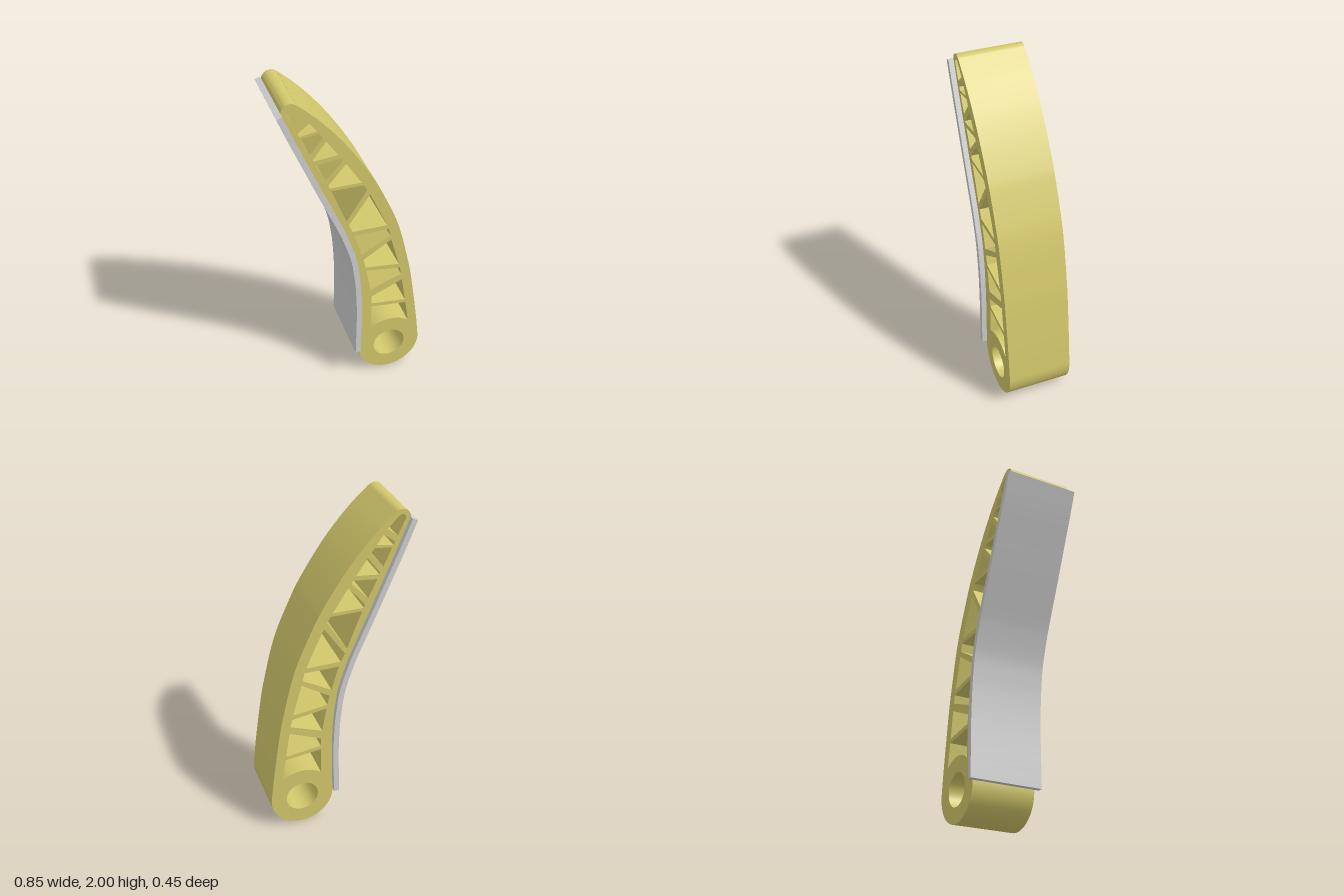
import * as THREE from 'three';
import { toCreasedNormals } from 'three/addons/utils/BufferGeometryUtils.js';

const V = (x, y) => new THREE.Vector2(x, y);
const spline = (pts, n) => new THREE.SplineCurve(pts.map(p => V(...p))).getPoints(n);

// Points along an arc, angles in degrees
function arc(cx, cy, r, a0, a1, n) {
  return Array.from({ length: n + 1 }, (_, i) => {
    const a = THREE.MathUtils.degToRad(a0 + (a1 - a0) * i / n);
    return V(cx + r * Math.cos(a), cy + r * Math.sin(a));
  });
}

// x of a rail at height y
function railX(rail, y) {
  for (let i = 1; i < rail.length; i++) {
    if (y <= rail[i].y || i === rail.length - 1) {
      const a = rail[i - 1], b = rail[i];
      return a.x + (b.x - a.x) * (y - a.y) / (b.y - a.y);
    }
  }
}

// Points following a rail between two heights
function along(rail, y0, y1) {
  const n = Math.max(1, Math.ceil(Math.abs(y1 - y0) / 0.06));
  return Array.from({ length: n + 1 }, (_, i) => {
    const y = y0 + (y1 - y0) * i / n;
    return V(railX(rail, y), y);
  });
}

function extrude(shape, depth) {
  const g = new THREE.ExtrudeGeometry(shape, { depth, bevelEnabled: false });
  g.translate(0, 0, -depth / 2);
  return toCreasedNormals(g, 0.4);
}

export function createModel() {
  const group = new THREE.Group();
  const yellow = new THREE.MeshStandardMaterial({ color: 0xd2c76b });
  yellow.name = 'khaki yellow';
  const grey = new THREE.MeshStandardMaterial({ color: 0xcfcfcf });
  grey.name = 'light grey';

  // Outer and inner edges of the two curved rails, from bottom to top
  const back = spline([[0.425, 0.2], [0.407, 0.36], [0.385, 0.52], [0.353, 0.73], [0.33, 0.84], [0.285, 1.03],
    [0.236, 1.18], [0.147, 1.38], [0.1, 1.47], [0.01, 1.615], [-0.087, 1.75], [-0.2, 1.88], [-0.312, 1.985]], 48);
  const face = spline([[0.035, 0.2], [0.04, 0.5], [0.033, 0.7], [0.02, 0.83], [0, 0.95], [-0.047, 1.1],
    [-0.086, 1.2], [-0.187, 1.435], [-0.264, 1.62], [-0.335, 1.79], [-0.398, 1.95]], 40);
  const innerBack = spline([[0.353, 0.355], [0.326, 0.52], [0.294, 0.73], [0.277, 0.81], [0.222, 1.01],
    [0.193, 1.12], [0.08, 1.37], [0.043, 1.435], [-0.055, 1.59], [-0.165, 1.75], [-0.27, 1.9]], 60);
  const innerFace = spline([[0.11, 0.35], [0.108, 0.6], [0.1, 0.66], [0.07, 0.83], [0.048, 0.92], [-0.005, 1.1],
    [-0.045, 1.19], [-0.14, 1.435], [-0.225, 1.62], [-0.302, 1.79], [-0.375, 1.95]], 60);

  // Finger silhouette: pivot round, back rail, tip round, contact rail
  const pivot = [0.23, 0.195];
  const finger = new THREE.Shape([
    ...arc(...pivot, 0.195, 180, 360, 32),
    ...back,
    ...arc(-0.35, 1.95, 0.05, 38, 175, 12),
    ...face.slice(0, -1).reverse(),
  ]);
  finger.holes.push(new THREE.Path(arc(...pivot, 0.1, 360, 0, 48).slice(0, -1)));

  // Struts: heights of lower and upper edges at the contact rail, then at the back rail
  const struts = [
    [0.525, 0.55, 0.5, 0.525], [0.605, 0.66, 0.69, 0.735], [0.815, 0.84, 0.785, 0.815],
    [0.9, 0.94, 1.01, 1.04], [1.09, 1.12, 1.09, 1.12], [1.17, 1.2, 1.355, 1.39],
    [1.425, 1.445, 1.425, 1.445], [1.465, 1.5, 1.585, 1.61], [1.61, 1.635, 1.625, 1.65],
    [1.645, 1.68, 1.745, 1.77], [1.785, 1.8, 1.8, 1.815], [1.82, 1.85, 1.87, 1.9],
  ];
  // Openings between neighbouring struts
  for (let i = 1; i < struts.length; i++) {
    const a = struts[i - 1], b = struts[i];
    finger.holes.push(new THREE.Path([
      ...along(innerFace, a[1], b[0]), ...along(innerBack, b[2], a[3]),
    ]));
  }
  // Lowest opening, curved over the pivot ring
  finger.holes.push(new THREE.Path([
    ...arc(...pivot, 0.197, 52, 128, 14),
    ...along(innerFace, 0.4, struts[0][0]), ...along(innerBack, struts[0][2], 0.4),
  ]));
  // Rounded opening at the tip
  finger.holes.push(new THREE.Path([
    ...along(innerFace, struts[11][1], 1.94), ...arc(-0.35, 1.947, 0.024, 165, 45, 8), V(-0.27, 1.9),
  ]));

  const body = new THREE.Mesh(extrude(finger, 0.39), yellow);
  body.name = 'trussFinger';
  group.add(body);

  // Grip pad: the contact edge thickened outward, slightly wider than the finger
  const outer = face.map((p, i) => {
    const t = face[Math.min(i + 1, face.length - 1)].clone().sub(face[Math.max(i - 1, 0)]).normalize();
    return i === 0 ? V(p.x - 0.033, p.y) : V(p.x - t.y * 0.033, p.y + t.x * 0.033);
  });
  const pad = new THREE.Mesh(extrude(new THREE.Shape([...face, ...outer.reverse()]), 0.45), grey);
  pad.name = 'gripPad';
  group.add(pad);

  return group;
}
